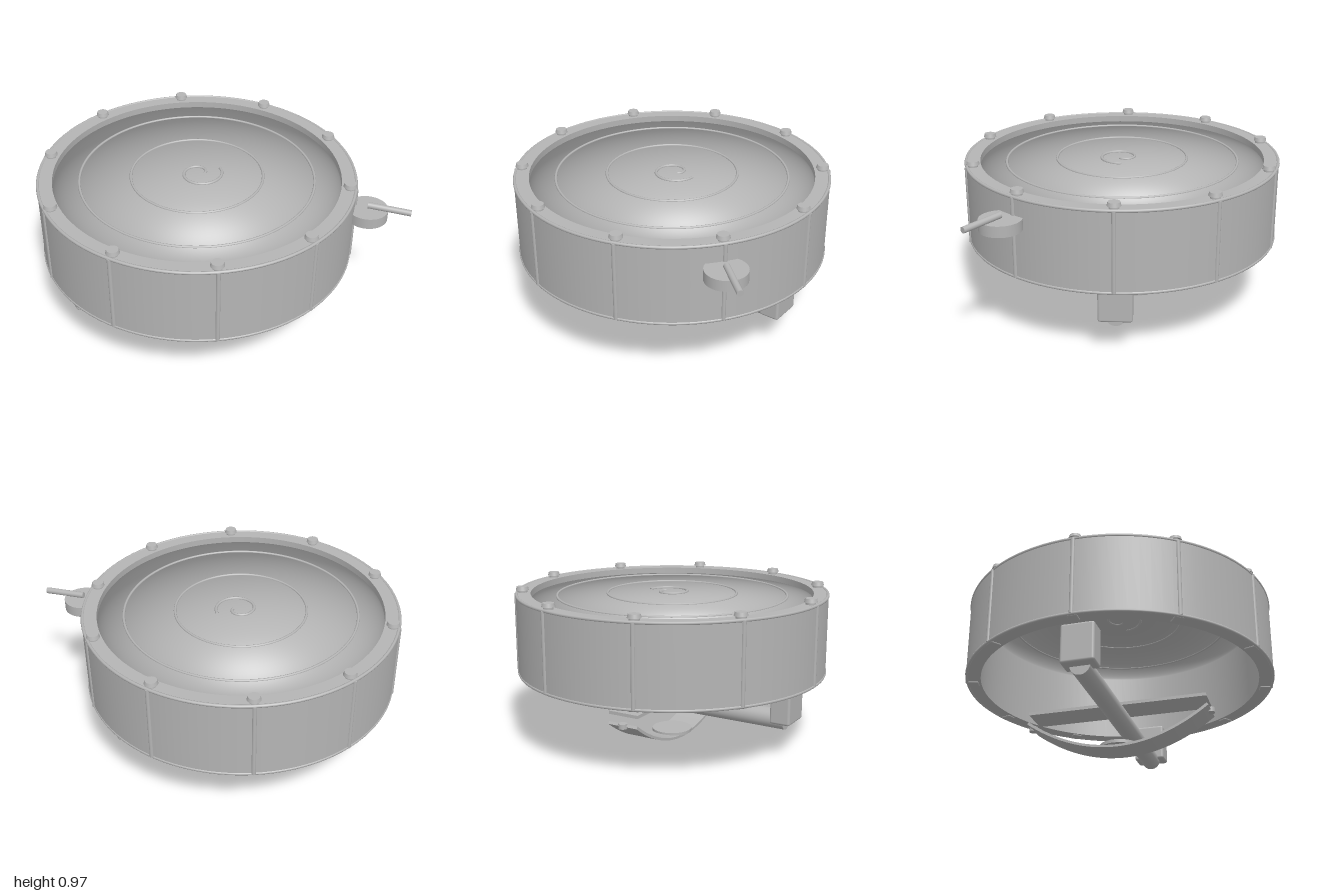
import * as THREE from 'three';
import { RoundedBoxGeometry } from 'three/addons/geometries/RoundedBoxGeometry.js';

const CX = -0.04; // axis of the drum

export function createModel() {
  const root = new THREE.Group();
  root.name = 'frameDrum';
  const grey = new THREE.MeshStandardMaterial({ color: 0xb4b4b4, side: THREE.DoubleSide });
  grey.name = 'plain grey';

  const add = (name, geometry, x = CX, y = 0, z = 0, parent = root) => {
    const mesh = new THREE.Mesh(geometry, grey);
    mesh.name = name;
    mesh.position.set(x, y, z);
    parent.add(mesh);
    return mesh;
  };
  const cyl = (r, h, seg = 24, rBottom = r) => new THREE.CylinderGeometry(r, rBottom, h, seg);

  // Hollow shell: each wall is its own band so the edges stay sharp
  const lathe = (...pts) => new THREE.LatheGeometry(pts.map(p => new THREE.Vector2(...p)), 96);
  add('shellOuterWall', lathe([0.96, 0.45], [0.96, 0.94]));
  add('shellInnerWall', lathe([0.87, 0.94], [0.87, 0.45]));
  add('shellTopEdge', lathe([0.96, 0.94], [0.87, 0.94]));
  add('shellBottomEdge', lathe([0.87, 0.45], [0.96, 0.45]));

  // Thin hoops around both edges
  for (const [name, y] of [['topHoop', 0.935], ['bottomHoop', 0.456]]) {
    add(name, new THREE.TorusGeometry(0.955, 0.01, 8, 96), CX, y).rotation.x = Math.PI / 2;
  }

  // Drum head: hemisphere pressed almost flat, keeping its rounded shading
  const head = new THREE.SphereGeometry(0.87, 96, 24, 0, Math.PI * 2, 0, Math.PI / 2);
  const pos = head.attributes.position;
  for (let i = 0; i < pos.count; i++) pos.setY(i, pos.getY(i) * 0.03);
  add('drumHead', head, CX, 0.9);

  // Raised rings and spiral on the head
  for (const [name, r, y] of [['outerRing', 0.71, 0.916], ['innerRing', 0.4, 0.924]]) {
    add(name, new THREE.TorusGeometry(r, 0.008, 8, 96), CX, y).rotation.x = Math.PI / 2;
  }
  const spiral = [];
  for (let i = 0; i <= 24; i++) {
    const t = i / 24, a = t * Math.PI * 2.1, r = 0.135 - 0.03 * t - 0.075 * t * t;
    spiral.push(new THREE.Vector3(r * Math.cos(a), 0, r * Math.sin(a)));
  }
  add('centreSpiral',
    new THREE.TubeGeometry(new THREE.CatmullRomCurve3(spiral), 80, 0.009, 8), -0.02, 0.928);

  // Ten tension rods with a domed bolt above and a nut below
  for (let i = 0; i < 10; i++) {
    const rod = new THREE.Group();
    rod.name = 'tensionRod' + (i + 1);
    rod.position.x = CX;
    rod.rotation.y = i * Math.PI / 5;
    root.add(rod);
    add('rod', cyl(0.013, 0.48, 12), 0.957, 0.695, 0, rod);
    add('boltNeck', cyl(0.03, 0.02), 0.92, 0.948, 0, rod);
    add('boltHead', cyl(0.034, 0.022, 24, 0.04), 0.92, 0.965, 0, rod);
    add('bottomNut', new RoundedBoxGeometry(0.07, 0.025, 0.06, 2, 0.006), 0.92, 0.455, 0, rod);
  }

  // Side knob with its slanted handle
  add('knobDisc', cyl(0.122, 0.066, 48), 0.785, 0.798, 0.625);
  const from = new THREE.Vector3(0.785, 0.85, 0.625), to = new THREE.Vector3(0.98, 0.838, 0.79);
  const dir = to.clone().sub(from);
  const mid = from.clone().add(to).multiplyScalar(0.5);
  add('knobHandle', cyl(0.019, dir.length(), 16), mid.x, mid.y, mid.z)
    .quaternion.setFromUnitVectors(new THREE.Vector3(0, 1, 0), dir.normalize());

  // Brackets and the crossbar they carry
  for (const [name, s] of [['leftBracket', 1], ['rightBracket', -1]]) {
    add(name, new RoundedBoxGeometry(0.128, 0.24, 0.2, 3, 0.015), CX + s * 0.79, 0.338);
  }
  add('crossbar', cyl(0.06, 1.585, 32), CX, 0.225).rotation.z = Math.PI / 2;

  // Flat plate lying over the crossbar
  add('flatPlate', new THREE.BoxGeometry(0.2, 0.02, 1.13), CX, 0.282);

  // Bowed strap: a curved profile extruded sideways
  const profile = new THREE.Shape();
  profile.moveTo(-0.575, 0.212);
  profile.bezierCurveTo(-0.2, -0.065, 0.2, -0.065, 0.575, 0.212);
  profile.lineTo(0.565, 0.227);
  profile.bezierCurveTo(0.2, -0.05, -0.2, -0.05, -0.565, 0.227);
  profile.closePath();
  const strap = new THREE.ExtrudeGeometry(profile, { depth: 0.2, bevelEnabled: false, curveSegments: 32 });
  strap.translate(0, 0, -0.1).rotateY(Math.PI / 2);
  add('bowedStrap', strap, CX, 0);

  // Strap studs and the pad at its lowest point
  for (const [name, s] of [['frontStud', 1], ['backStud', -1]]) {
    add(name, cyl(0.027, 0.03, 20), CX, 0.215, s * 0.57);
  }
  add('strapPad', cyl(0.125, 0.02, 40), CX, 0.032);

  return root;
}
